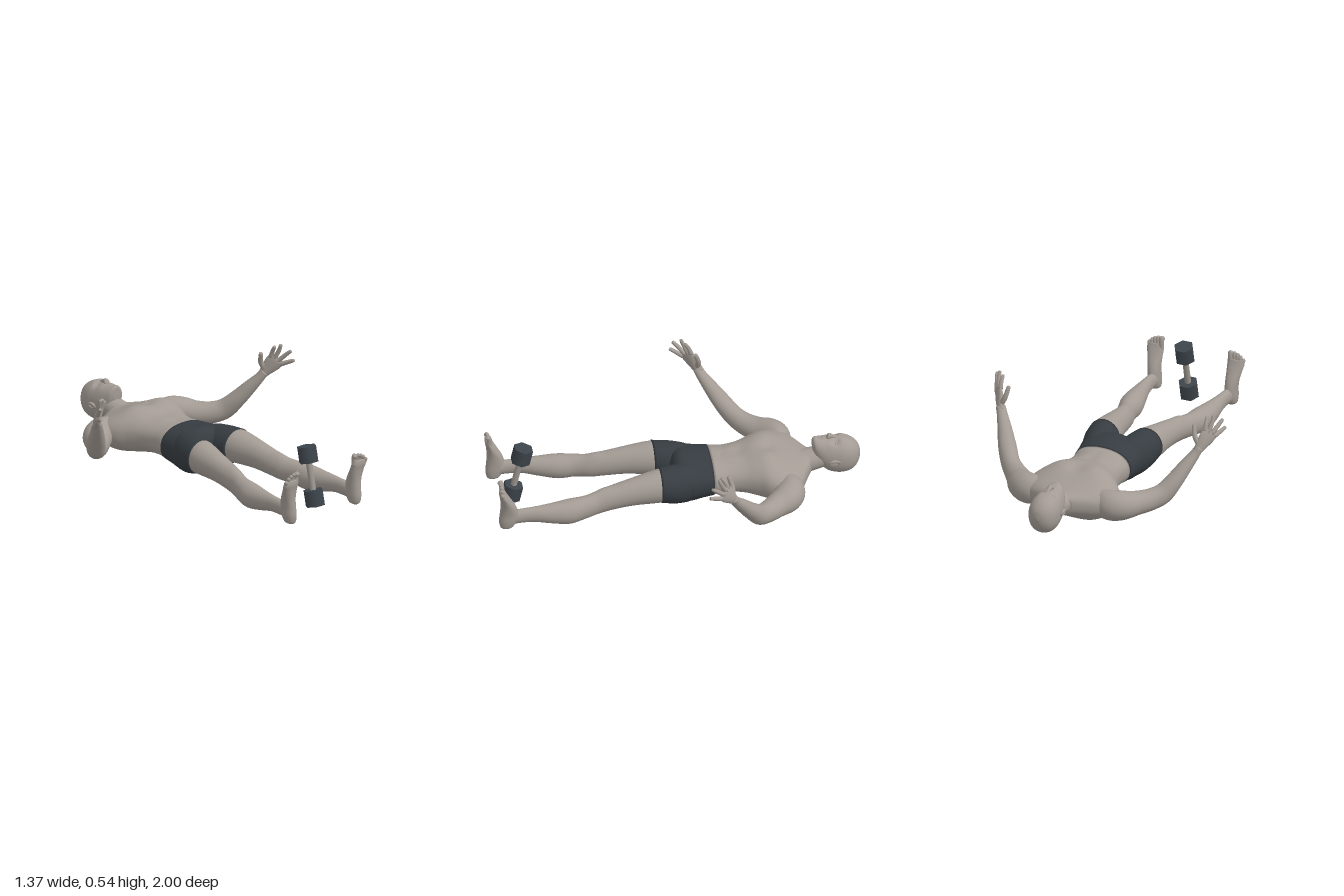
import * as THREE from 'three';

const V = (x, y, z) => new THREE.Vector3(x, y, z);
const material = (name, color) => Object.assign(new THREE.MeshStandardMaterial({ color }), { name });

// Smooth tube through rows of [x, y, z, halfSide, halfUp].
// side: direction of halfSide; axis: fixed ring normal (otherwise the path tangent).
// bumps: [x, y, z, lift, radius] push the surface along y, mirrored in x.
function loft(rows, { side = [1, 0, 0], axis = null, m = 1, n = 28, steps = 6, power = 1, bumps = [] } = {}) {
  const path = new THREE.CatmullRomCurve3(rows.map(r => V(r[0] * m, r[1], r[2])), false, 'catmullrom', 0.5);
  const size = new THREE.CatmullRomCurve3(rows.map(r => V(r[3], r[4], 0)), false, 'catmullrom', 0.5);
  const count = (rows.length - 1) * steps, pos = [], idx = [];
  const bend = v => Math.sign(v) * Math.abs(v) ** power;
  const ring = (t, k) => {
    const c = path.getPoint(t), r = size.getPoint(t);
    const tan = axis ? V(...axis) : path.getTangent(t);
    const s = V(side[0] * m, side[1], side[2]);
    s.addScaledVector(tan, -s.dot(tan)).normalize();
    const u = tan.clone().cross(s);
    for (let j = 0; j < n; j++) {
      const a = j / n * Math.PI * 2;
      const p = c.clone().addScaledVector(s, k * r.x * bend(Math.cos(a))).addScaledVector(u, k * r.y * bend(Math.sin(a)));
      let lift = 0;
      for (const [x, y, z, h, w] of bumps)
        lift += h * Math.exp(-((Math.abs(p.x) - x) ** 2 + (p.y - y) ** 2 + (p.z - z) ** 2) / (w * w));
      pos.push(p.x, p.y + lift, p.z);
    }
  };
  ring(0, 0);
  for (let i = 0; i <= count; i++) ring(i / count, 1);
  ring(1, 0);
  const rings = pos.length / 3 / n;
  for (let i = 0; i < rings - 1; i++)
    for (let j = 0; j < n; j++) {
      const a = i * n + j, b = i * n + (j + 1) % n;
      idx.push(a, b, a + n, b, b + n, a + n);
    }
  const g = new THREE.BufferGeometry();
  g.setAttribute('position', new THREE.Float32BufferAttribute(pos, 3));
  g.setIndex(idx);
  g.computeVertexNormals();
  return g;
}

export function createModel() {
  const model = new THREE.Group();
  model.name = 'lyingMan';
  const skin = material('skin', 0xa39b94);
  const cloth = material('shortsCloth', 0x363c41);
  const iron = material('dumbbellIron', 0x3d454b);
  const steel = material('dumbbellBar', 0x9c958f);

  const add = (name, geo, mat = skin, parent = model) => {
    const mesh = new THREE.Mesh(geo, mat);
    mesh.name = name;
    parent.add(mesh);
    return mesh;
  };
  const blob = (name, p, s) => {
    const mesh = add(name, new THREE.SphereGeometry(1, 18, 12));
    mesh.position.set(...p);
    mesh.scale.set(...s);
  };
  const toFeet = [0, 0, 1], toCrown = [0, 0, -1];

  // Torso from shoulders to waist, with chest, spine and shoulder blades
  add('torso', loft([
    [0, .137, -.725, .07, .055], [0, .131, -.695, .13, .066], [0, .125, -.66, .2, .078], [0, .122, -.62, .252, .095],
    [0, .128, -.55, .268, .114], [0, .136, -.48, .242, .122], [0, .138, -.42, .202, .121],
    [0, .138, -.35, .17, .107], [0, .137, -.27, .156, .1], [0, .137, -.185, .164, .104]
  ], { axis: toFeet, n: 64, power: .88, bumps: [
    [.1, .24, -.49, .016, .07], [0, .25, -.5, -.01, .035], [0, .24, -.34, -.006, .04],
    [.05, .24, -.3, .004, .04], [0, .02, -.5, .014, .045], [0, .03, -.35, .014, .045],
    [.12, .02, -.56, -.017, .085], [0, .24, -.245, -.006, .014]
  ] }));

  // Pelvis of the shorts, narrowing into the crotch
  add('shortsPelvis', loft([
    [0, .137, -.187, .167, .106], [0, .138, -.12, .177, .111], [0, .14, -.06, .186, .114],
    [0, .143, -.02, .165, .108], [0, .148, .01, .105, .085], [0, .15, .028, .045, .05]
  ], { axis: toFeet, n: 56, power: .88, bumps: [
    [.085, .025, -.05, -.022, .065], [0, .02, -.03, .035, .035], [0, .25, -.02, .006, .05]
  ] }), cloth);

  // Neck
  add('neck', loft([
    [0, .125, -.6, .1, .06], [0, .13, -.66, .085, .068], [0, .137, -.7, .072, .065],
    [0, .147, -.75, .066, .062], [0, .16, -.81, .06, .06]
  ], { axis: toCrown }));

  // Head with eye sockets, brow, cheeks and chin
  add('head', loft([
    [0, .238, -.742, .026, .03], [0, .222, -.755, .046, .056], [0, .195, -.785, .063, .083],
    [0, .176, -.82, .074, .1], [0, .168, -.86, .081, .108], [0, .165, -.9, .084, .109],
    [0, .163, -.94, .078, .098], [0, .163, -.972, .06, .075], [0, .166, -.992, .034, .043], [0, .168, -1, .006, .008]
  ], { axis: toCrown, n: 64, steps: 8, power: .93, bumps: [
    [.032, .262, -.865, -.013, .02], [.03, .265, -.895, .005, .02], [.045, .25, -.83, .004, .02],
    [0, .27, -.752, .008, .022], [0, .275, -.77, -.004, .012]
  ] }));
  add('nose', loft([
    [0, .264, -.885, .008, .008], [0, .276, -.857, .01, .014], [0, .284, -.838, .013, .016],
    [0, .282, -.826, .018, .014], [0, .273, -.817, .012, .007]
  ], { axis: toFeet, n: 20 }));
  blob('upperLip', [0, .272, -.797], [.021, .008, .006]);
  blob('lowerLip', [0, .27, -.787], [.017, .009, .006]);

  // Limbs and paired details; m = 1 is the model's left
  for (const m of [1, -1]) {
    const side = m > 0 ? 'left' : 'right';
    blob(side + 'Eye', [m * .032, .252, -.864], [.013, .008, .007]);
    const ear = add(side + 'Ear', new THREE.TorusGeometry(.02, .006, 8, 20));
    ear.position.set(m * .087, .163, -.85);
    ear.scale.set(.72, 1.25, 1);
    ear.rotation.set(Math.PI / 2, m * (Math.PI / 2 - .35), 0);
    blob(side + 'EarInner', [m * .083, .166, -.848], [.008, .013, .021]);

    // Thigh part of the shorts
    add(side + 'ShortsLeg', loft([
      [.08, .139, -.14, .05, .06], [.09, .139, -.09, .082, .095], [.1, .141, -.04, .092, .108],
      [.112, .149, .03, .099, .107], [.126, .161, .105, .092, .096]
    ], { axis: toFeet, m }), cloth);

    // Leg down to the ankle
    add(side + 'Leg', loft([
      [.122, .158, .07, .088, .093], [.13, .159, .13, .087, .091], [.143, .15, .25, .07, .078], [.152, .136, .35, .06, .071],
      [.165, .12, .44, .053, .066], [.19, .113, .52, .055, .065], [.205, .107, .61, .064, .069],
      [.215, .113, .71, .05, .057], [.221, .122, .8, .034, .045], [.223, .122, .88, .028, .042], [.225, .115, .95, .03, .04]
    ], { axis: toFeet, m, bumps: [[.158, .19, .42, .008, .04]] }));

    // Foot, from the heel up to the ball
    add(side + 'Foot', loft([
      [.226, .056, .958, .014, .018], [.226, .068, .952, .028, .036], [.227, .105, .945, .034, .049],
      [.228, .15, .94, .034, .05], [.231, .2, .945, .037, .041], [.235, .25, .961, .044, .028],
      [.238, .285, .974, .049, .021], [.236, .31, .979, .045, .014]
    ], { axis: [0, 1, 0], m, power: .95 }));
    for (let i = 0; i < 5; i++) {
      const r = i ? .0095 : .014, x = [.204, .227, .245, .262, .278][i], top = [.35, .349, .343, .332, .316][i];
      add(side + 'Toe' + (i + 1), loft([
        [x, .28, .975, r, r], [x, top - .022, .977, r, r], [x, top - .008, .984, r * 1.1, r * 1.1], [x, top, .987, r * .5, r * .5]
      ], { m, n: 12, steps: 4 }));
    }

    // Arm from the shoulder to the wrist
    add(side + 'Arm', loft([
      [.1, .13, -.585, .03, .04], [.18, .128, -.585, .06, .074], [.245, .123, -.585, .078, .084], [.298, .12, -.552, .08, .079],
      [.345, .117, -.495, .068, .066], [.4, .123, -.435, .058, .06], [.452, .148, -.383, .051, .056],
      [.495, .21, -.33, .05, .046], [.535, .28, -.278, .04, .037], [.57, .34, -.235, .03, .027], [.59, .377, -.215, .027, .023]
    ], { side: [.62, 0, -.78], m }));

    // Hand with a thumb and four fingers
    const across = [.55, -.6, .55];
    add(side + 'Palm', loft([
      [.58, .358, -.225, .024, .022], [.597, .39, -.205, .034, .021], [.613, .422, -.183, .045, .018],
      [.626, .447, -.164, .046, .014], [.631, .456, -.157, .038, .008]
    ], { side: across, m, n: 20 }));
    const fingers = {
      Index: [[.606, .465, -.183], [.607, .5, -.17], [.605, .53, -.152]],
      Middle: [[.62, .455, -.171], [.632, .503, -.148], [.634, .538, -.134]],
      Ring: [[.634, .442, -.157], [.655, .48, -.122], [.668, .506, -.095]],
      Little: [[.643, .424, -.147], [.664, .443, -.108], [.677, .456, -.08]],
      Thumb: [[.585, .395, -.215], [.562, .438, -.215], [.55, .49, -.2]]
    };
    for (const [name, [a, b, c]] of Object.entries(fingers)) {
      const r = name === 'Thumb' ? .014 : .0115;
      const tip = c.map((v, i) => v + (c[i] - b[i]) * .12);
      add(side + name, loft([
        [...a, r * 1.15, r * 1.15], [...b, r, r], [...c, r * .8, r * .8], [...tip, r * .35, r * .35]
      ], { side: across, m, n: 12 }));
    }
  }

  // Tilted dumbbell with six-sided weights between the feet
  const dumbbell = new THREE.Group();
  dumbbell.name = 'dumbbell';
  dumbbell.position.set(0, .242, .86);
  dumbbell.rotation.x = -.225;
  model.add(dumbbell);
  add('bar', new THREE.CylinderGeometry(.017, .017, .18, 20), steel, dumbbell);
  for (const s of [-1, 1]) {
    const weight = add(s > 0 ? 'upperWeight' : 'lowerWeight',
      new THREE.CylinderGeometry(.055, .055, .088, 6, 1, false, Math.PI / 6), iron, dumbbell);
    weight.position.y = s * .12;
  }
  return model;
}
